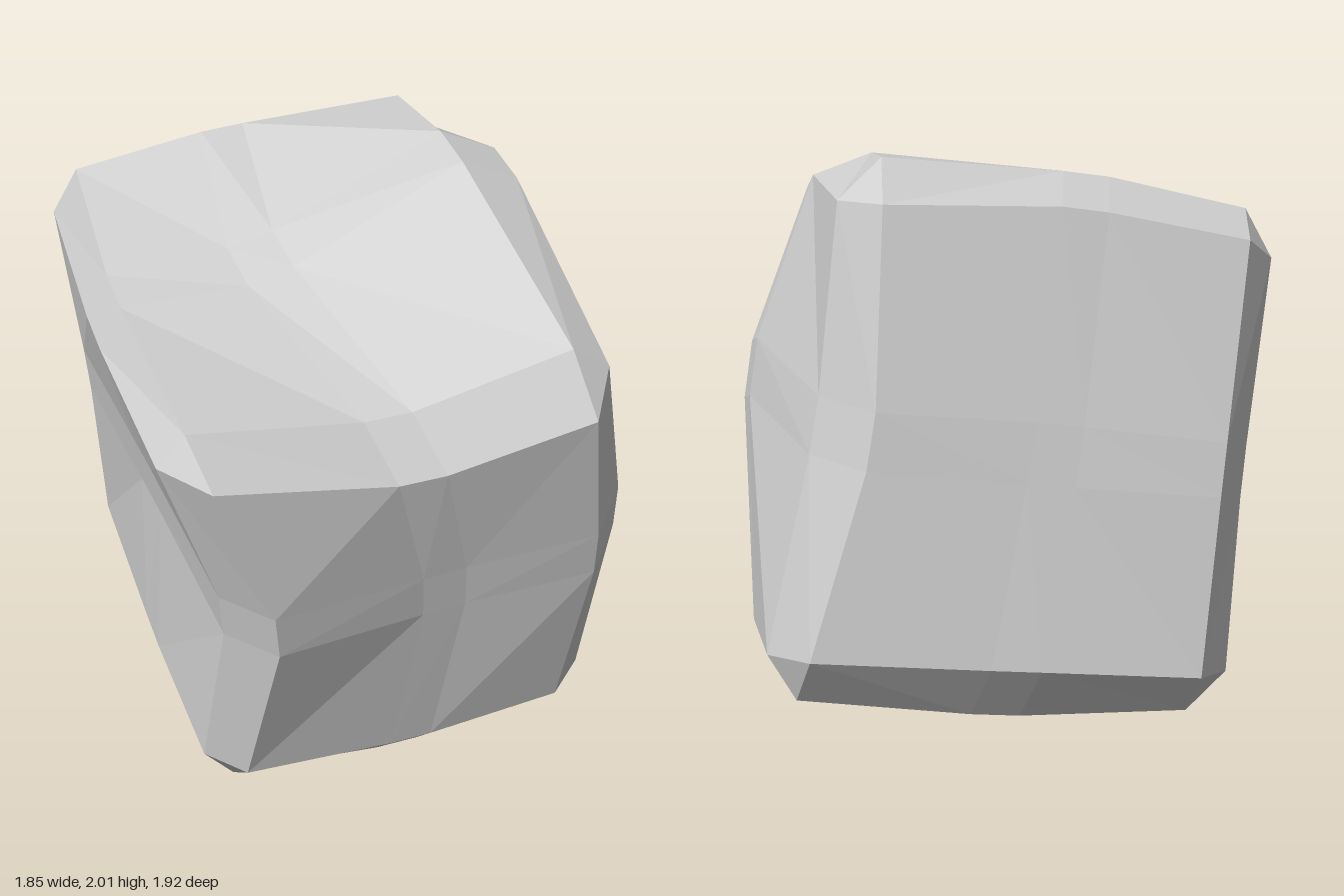
import * as THREE from 'three';

// Warped block: a 3 x 3 x 3 cage of points, keyed by the x, y, z side of each one
const CAGE = {
  // corners
  '-1,1,1': [-0.44, 1.29, 0.89], '1,1,1': [0.78, 1.43, 0.59],
  '-1,1,-1': [-0.89, 1.76, -0.28], '1,1,-1': [0.26, 1.92, -0.6],
  '-1,-1,1': [-0.35, 0.09, 0.69], '1,-1,1': [0.77, 0.17, 0.33],
  '-1,-1,-1': [-0.79, 0.39, -0.59], '1,-1,-1': [0.45, 0.47, -0.9],
  // middles of the edges
  '0,1,1': [0.21, 1.26, 0.72], '0,-1,1': [0.235, 0.055, 0.5],
  '0,1,-1': [-0.38, 1.9, -0.42], '0,-1,-1': [-0.195, 0.4, -0.78],
  '-1,1,0': [-0.73, 1.515, 0.245], '1,1,0': [0.475, 1.92, -0.115],
  '-1,-1,0': [-0.565, 0.21, 0.13], '1,-1,0': [0.71, 0.3, -0.25],
  '-1,0,1': [-0.265, 0.715, 0.84], '1,0,1': [0.87, 0.86, 0.49],
  '-1,0,-1': [-0.855, 1.06, -0.48], '1,0,-1': [0.305, 1.2, -0.78],
  // middles of the faces, and the core
  '0,0,1': [0.345, 0.73, 0.655], '0,0,-1': [-0.33, 1.135, -0.675],
  '0,1,0': [-0.235, 1.65, 0.115], '0,-1,0': [0.135, 0.09, -0.115],
  '-1,0,0': [-0.625, 0.905, 0.18], '1,0,0': [0.78, 1.26, -0.17],
  '0,0,0': [0, 1, 0],
};
const BEVEL = 0.18;   // width of the chamfers, as a share of half an edge
const MIDDLE = 0.12;  // half width of the narrow band across each face
const STEPS = [-2, -1, 1, 2];
const CENTRE = new THREE.Vector3(0, 1, 0);

const cage = (i) => new THREE.Vector3(...CAGE[i.join(',')]);

// Direction of the cage along one axis at a cage point
function slope(index, axis) {
  const hi = [...index], lo = [...index];
  hi[axis] = Math.min(1, index[axis] + 1);
  lo[axis] = Math.max(-1, index[axis] - 1);
  return cage(hi).sub(cage(lo)).divideScalar(hi[axis] - lo[axis]);
}

// Vertex of the face across `axis`; steps are -2..2, where 2 is the outer rim
function vertex(axis, steps) {
  const index = steps.map((s) => (Math.abs(s) === 2 ? s / 2 : 0));
  const outer = index.filter((s) => s !== 0).length;
  const point = cage(index);
  steps.forEach((s, c) => {
    let move = Math.sign(s);
    if (Math.abs(s) === 1) move *= MIDDLE;
    else move *= c === axis ? BEVEL * (outer - 1) / outer : -BEVEL / outer;
    if (move !== 0) point.addScaledVector(slope(index, c), move);
  });
  return point;
}

function createBlockGeometry() {
  const positions = [];
  const triangle = (a, b, c) => {
    const normal = b.clone().sub(a).cross(c.clone().sub(a));
    const outward = a.clone().add(b).add(c).divideScalar(3).sub(CENTRE);
    const corners = normal.dot(outward) < 0 ? [a, c, b] : [a, b, c];
    corners.forEach((p) => positions.push(p.x, p.y, p.z));
  };
  const quad = (a, b, c, d) => { triangle(a, b, c); triangle(a, c, d); };

  for (let axis = 0; axis < 3; axis++) {
    const u = (axis + 1) % 3, v = (axis + 2) % 3;
    const at = (face, a, b, c) => {
      const steps = [];
      steps[axis] = a; steps[u] = b; steps[v] = c;
      return vertex(face, steps);
    };
    // two opposite faces, three by three panels each
    for (const side of [-2, 2]) {
      for (let i = 0; i < 3; i++) {
        for (let j = 0; j < 3; j++) {
          const [b0, b1, c0, c1] = [STEPS[i], STEPS[i + 1], STEPS[j], STEPS[j + 1]];
          quad(at(axis, side, b0, c0), at(axis, side, b1, c0),
            at(axis, side, b1, c1), at(axis, side, b0, c1));
        }
      }
    }
    // four chamfers running along this axis
    for (const b of [-2, 2]) {
      for (const c of [-2, 2]) {
        for (let i = 0; i < 3; i++) {
          const [a0, a1] = [STEPS[i], STEPS[i + 1]];
          quad(at(u, a0, b, c), at(u, a1, b, c), at(v, a1, b, c), at(v, a0, b, c));
        }
      }
    }
  }
  // cut-off corners
  for (const x of [-2, 2]) for (const y of [-2, 2]) for (const z of [-2, 2]) {
    triangle(...[0, 1, 2].map((axis) => vertex(axis, [x, y, z])));
  }

  const geometry = new THREE.BufferGeometry();
  geometry.setAttribute('position', new THREE.Float32BufferAttribute(positions, 3));
  geometry.computeVertexNormals();
  return geometry;
}

export function createModel() {
  const group = new THREE.Group();
  group.name = 'boulder';
  const rock = new THREE.Mesh(
    createBlockGeometry(),
    new THREE.MeshStandardMaterial({ color: 0xcccccc, flatShading: true }),
  );
  rock.name = 'rock';
  group.add(rock);
  return group;
}
